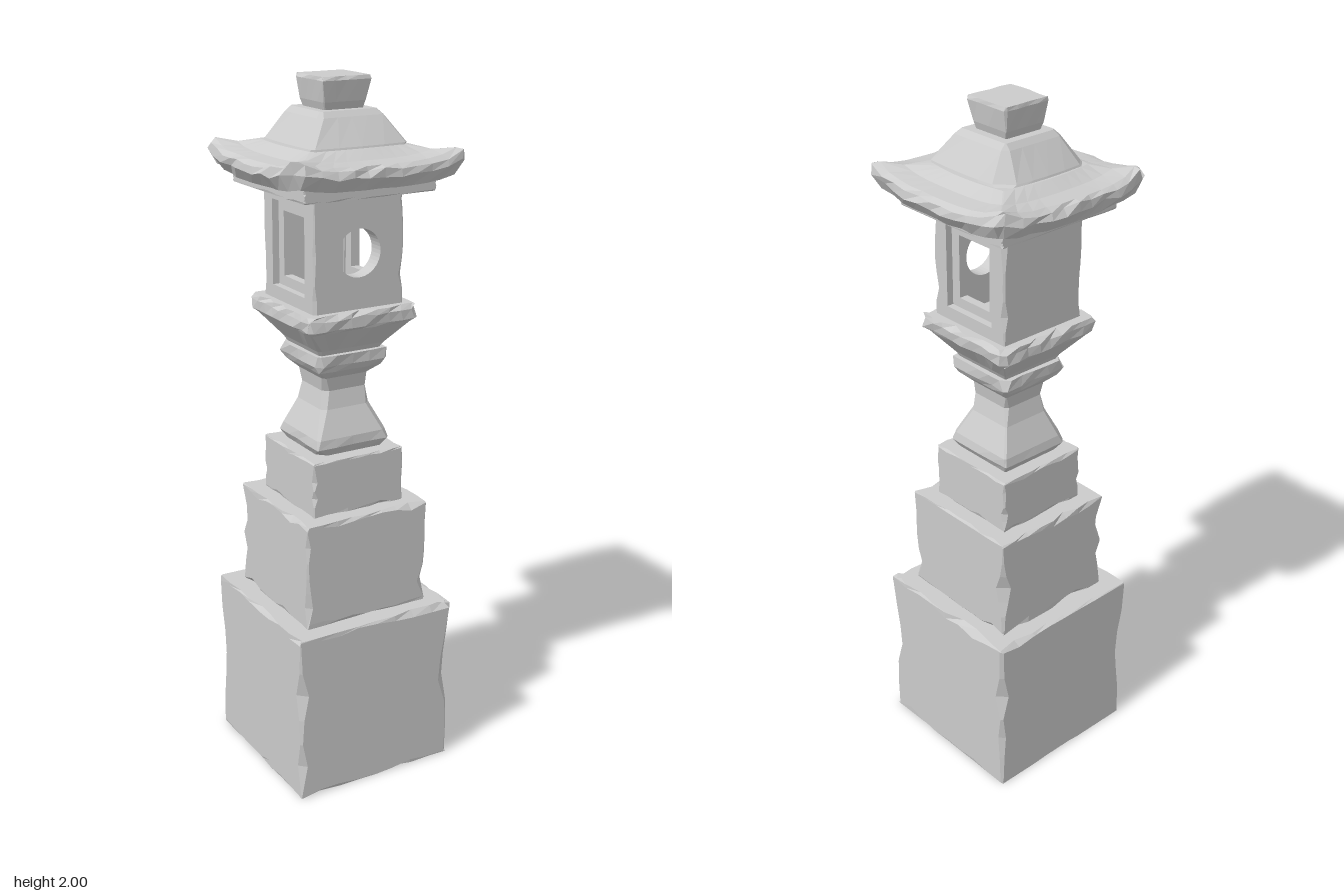
import * as THREE from 'three';

// Weathered stone lantern, stacked from roughly hewn square blocks.
export function createModel() {
  const model = new THREE.Group();
  const stone = new THREE.MeshStandardMaterial({ color: 0xcccccc, flatShading: true, side: THREE.DoubleSide });

  let seed = 17;
  const rand = () => {
    seed = (seed * 16807) % 2147483647;
    return seed / 2147483647;
  };

  function add(name, geometry, x = 0, y = 0, z = 0, turn = 0, parent = model) {
    const mesh = new THREE.Mesh(geometry, stone);
    mesh.name = name;
    mesh.position.set(x, y, z);
    mesh.rotation.y = turn;
    parent.add(mesh);
    return mesh;
  }

  // Square rings joined upwards. Each level: y, half width h, corner cut,
  // chip (random inset), dy (random rise), lift (raised corners), bulge (bowed sides).
  function loft(levels, { n = 9, bottom = true, onlyCorner = null } = {}) {
    const pos = [], idx = [], count = 4 * n;
    for (const { y, h, cut = 0.006, chip = 0, dy = 0, lift = 0, bulge = 0 } of levels) {
      const cuts = [0, 1, 2, 3].map(c =>
        onlyCorner === null || c === onlyCorner ? cut * (0.2 + 1.2 * rand() ** 2) : 0);
      for (let s = 0; s < 4; s++) {
        const a = s * Math.PI / 2;
        for (let i = 0; i < n; i++) {
          const t = -1 + 2 * i / (n - 1);
          const u = t * (h - cuts[t > 0 ? s : (s + 3) % 4]);
          const v = h + bulge * (1 - t * t) - chip * rand() ** 3;
          pos.push(u * Math.cos(a) + v * Math.sin(a),
            y + lift * t ** 4 + dy * rand() ** 3,
            v * Math.cos(a) - u * Math.sin(a));
        }
      }
    }
    for (let k = 0; k < levels.length - 1; k++) {
      for (let j = 0; j < count; j++) {
        const a = k * count + j, b = k * count + (j + 1) % count;
        idx.push(a, b, b + count, a, b + count, a + count);
      }
    }
    const cap = (k, up) => {
      const centre = pos.length / 3;
      pos.push(0, levels[k].y, 0);
      for (let j = 0; j < count; j++) {
        const a = k * count + j, b = k * count + (j + 1) % count;
        idx.push(centre, up ? a : b, up ? b : a);
      }
    };
    if (bottom) cap(0, false);
    cap(levels.length - 1, true);
    const g = new THREE.BufferGeometry();
    g.setAttribute('position', new THREE.Float32BufferAttribute(pos, 3));
    g.setIndex(idx);
    const flat = g.toNonIndexed();
    flat.computeVertexNormals();
    return flat;
  }

  // Upright block with chipped edges
  function block(y0, y1, h, chip, options) {
    const levels = [{ y: y0, h, chip }, { y: y0 + 0.003, h, dy: chip }];
    for (const f of [0.2, 0.35, 0.5, 0.65, 0.8]) {
      levels.push({ y: y0 + (y1 - y0) * f, h, cut: chip * 1.2 });
    }
    levels.push({ y: y1 - 0.003, h, dy: -chip }, { y: y1, h, chip });
    return loft(levels, options);
  }

  // Stepped plinth, hollow underneath
  add('base', block(0, 0.505, 0.25, 0.022, { bottom: false }));
  add('middleBlock', block(0.505, 0.815, 0.195, 0.018));
  add('upperBlock', block(0.815, 0.975, 0.145, 0.01));

  // Waisted stem with a collar
  add('stem', loft([
    { y: 0.975, h: 0.1, cut: 0.02 },
    { y: 1.0, h: 0.117, cut: 0.022, chip: 0.006 },
    { y: 1.025, h: 0.112, cut: 0.022 },
    { y: 1.1, h: 0.078, cut: 0.015 },
    { y: 1.15, h: 0.066, cut: 0.012 },
    { y: 1.19, h: 0.073, cut: 0.012 },
    { y: 1.215, h: 0.1, cut: 0.02, chip: 0.006 },
    { y: 1.235, h: 0.112, cut: 0.025, chip: 0.008 },
    { y: 1.265, h: 0.112, cut: 0.025, chip: 0.008 },
  ], { n: 5 }));

  // Flared platform below the lamp house
  add('platform', loft([
    { y: 1.255, h: 0.09, cut: 0.015 },
    { y: 1.28, h: 0.105, cut: 0.015 },
    { y: 1.345, h: 0.16, cut: 0.018, chip: 0.006 },
    { y: 1.355, h: 0.172, cut: 0.018, chip: 0.01 },
    { y: 1.38, h: 0.172, cut: 0.018, chip: 0.01, dy: 0.008 },
    { y: 1.395, h: 0.168, cut: 0.018, chip: 0.025 },
  ]));

  // Lamp house: corner posts, front wall with a round hole, plain back, side windows
  const house = new THREE.Group();
  house.name = 'lampHouse';
  model.add(house);
  const low = 1.395, high = 1.71, mid = (low + high) / 2;
  [[1, 1], [1, -1], [-1, -1], [-1, 1]].forEach(([sx, sz], corner) => {
    const levels = [0, 0.12, 0.25, 0.4, 0.5, 0.65, 0.8, 0.9, 1].map(f =>
      ({ y: low + (high - low) * f, h: 0.025, cut: 0.014 }));
    add('cornerPost', loft(levels, { n: 2, onlyCorner: corner }), sx * 0.114, 0, sz * 0.114, 0, house);
  });

  const rectangle = (Kind, w, y0, y1) => new Kind().moveTo(-w, y0).lineTo(w, y0).lineTo(w, y1).lineTo(-w, y1).closePath();
  const panel = (w, y0, y1, hole, depth) => {
    const shape = rectangle(THREE.Shape, w, y0, y1);
    shape.holes.push(hole);
    return new THREE.ExtrudeGeometry(shape, { depth, bevelEnabled: false, curveSegments: 20 });
  };
  const roundHole = new THREE.Path().absarc(0, 1.548, 0.066, 0, Math.PI * 2, true);
  add('frontWall', panel(0.09, low, high, roundHole, 0.045), 0, 0, 0.094, 0, house);
  add('backWall', new THREE.BoxGeometry(0.18, high - low, 0.045), 0, mid, -0.1165, 0, house);
  for (const side of [1, -1]) {
    add('windowSill', new THREE.BoxGeometry(0.05, 0.037, 0.18), side * 0.114, low + 0.0185, 0, 0, house);
    add('windowLintel', new THREE.BoxGeometry(0.05, 0.04, 0.18), side * 0.114, high - 0.02, 0, 0, house);
    const opening = rectangle(THREE.Path, 0.06, 1.46, 1.64);
    add('windowFrame', panel(0.09, 1.432, 1.67, opening, 0.025), side * 0.094, 0, 0, side * Math.PI / 2, house);
  }

  // Ceiling slab and sweeping roof with raised corners
  add('ceilingSlab', block(1.705, 1.745, 0.2, 0.004));
  add('roof', loft([
    { y: 1.74, h: 0.19 },
    { y: 1.735, h: 0.235, cut: 0.02, chip: 0.012, lift: 0.015, bulge: 0.01 },
    { y: 1.765, h: 0.256, cut: 0.025, chip: 0.014, dy: 0.012, lift: 0.022, bulge: 0.014 },
    { y: 1.785, h: 0.252, cut: 0.025, chip: 0.014, dy: 0.012, lift: 0.025, bulge: 0.014 },
    { y: 1.797, h: 0.237, cut: 0.012, chip: 0.01, lift: 0.024, bulge: 0.012 },
    { y: 1.802, h: 0.19, cut: 0.004, lift: 0.012, bulge: 0.008 },
    { y: 1.825, h: 0.145, cut: 0.012, bulge: 0.014 },
  ], { n: 11 }));
  add('roofCrown', loft([
    { y: 1.815, h: 0.15, cut: 0.035, bulge: 0.006 },
    { y: 1.83, h: 0.144, cut: 0.035, bulge: 0.006 },
    { y: 1.9, h: 0.098, cut: 0.015 },
    { y: 1.915, h: 0.084, cut: 0.012 },
  ], { n: 5 }));

  // Finial, slightly wider at the top
  add('finial', loft([
    { y: 1.91, h: 0.058 },
    { y: 1.935, h: 0.066 },
    { y: 1.99, h: 0.075, chip: 0.004 },
    { y: 2.0, h: 0.072, chip: 0.008 },
  ], { n: 5 }));

  return model;
}
